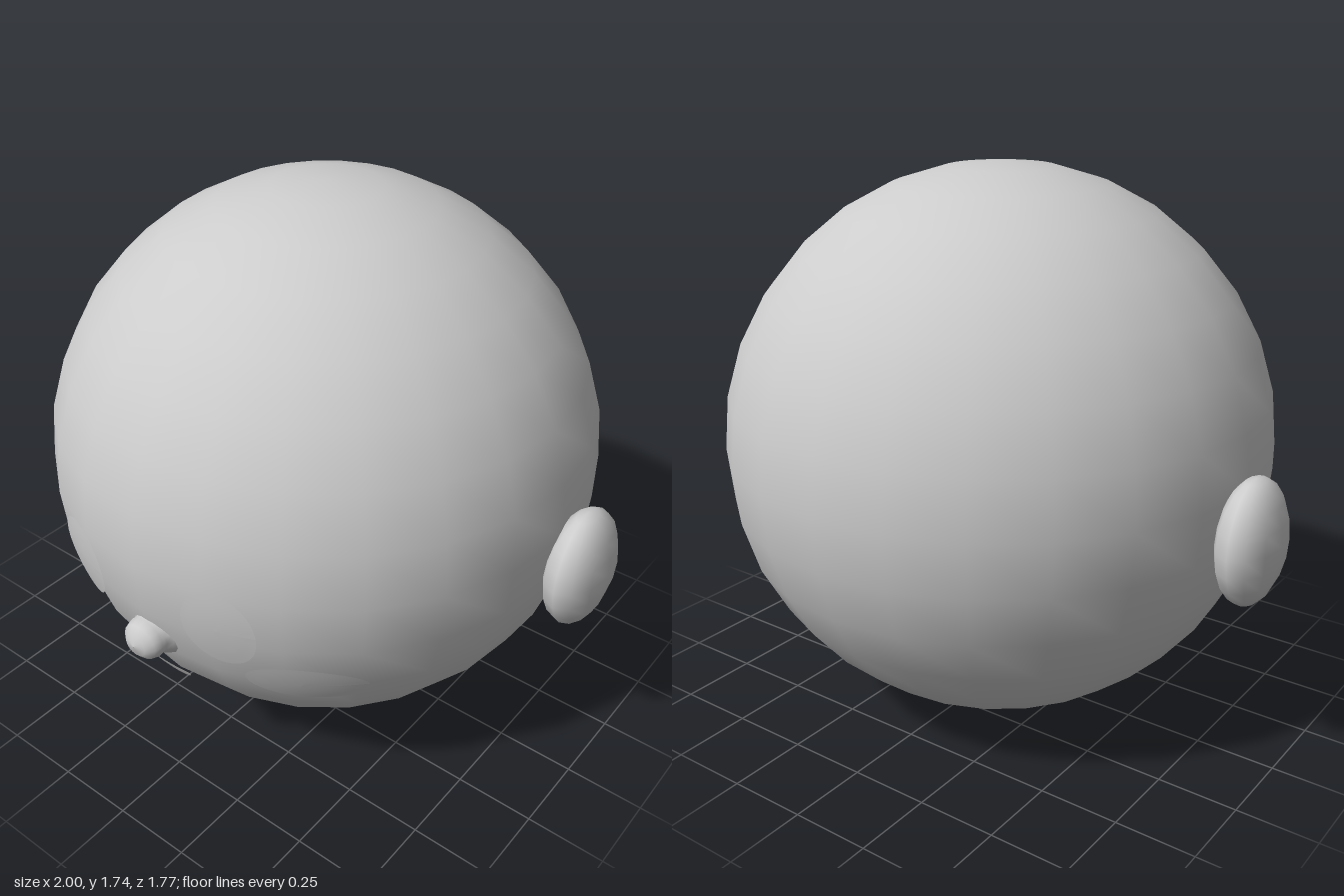
import * as THREE from 'three';

const R = 0.869, CY = 0.873, CZ = -0.015;

export function createModel() {
  const model = new THREE.Group();
  const clay = new THREE.MeshStandardMaterial({ color: 0xcccccc });
  clay.name = 'pale grey';

  const add = (name, geometry, parent = model) => {
    const mesh = new THREE.Mesh(geometry, clay);
    mesh.name = name;
    parent.add(mesh);
    return mesh;
  };

  // Thin face detail: a disc (or part of one) wrapped onto the head
  const patch = (name, x, y, rx, ry, lift, start = 0, sweep = Math.PI * 2) => {
    const g = new THREE.RingGeometry(0.001, 1, 32, 5, start, sweep);
    const p = g.attributes.position;
    for (let i = 0; i < p.count; i++) {
      const px = x + p.getX(i) * rx, py = y + p.getY(i) * ry;
      const r = R + lift;
      p.setXYZ(i, px, py, CZ + Math.sqrt(r * r - px * px - (py - CY) ** 2));
    }
    g.computeVertexNormals();
    return add(name, g);
  };

  // Head
  add('head', new THREE.SphereGeometry(R, 24, 16)).position.set(0, CY, CZ);

  // Nose: a small ball on a flared base
  const profile = [[0.1, -0.04], [0.08, -0.005], [0.068, 0.012], [0.07, 0.03],
    [0.062, 0.055], [0.038, 0.074], [0.001, 0.082]].map(([r, h]) => new THREE.Vector2(r, h));
  const nose = add('nose', new THREE.LatheGeometry(profile, 16).rotateX(Math.PI / 2));
  nose.scale.y = 0.92;
  nose.position.set(0, 0.6, 0.803);

  // Mouth
  patch('mouth', 0, 0.455, 0.09, 0.055, 0.014, Math.PI, Math.PI);

  for (const s of [1, -1]) {
    const side = s > 0 ? 'left' : 'right';

    // Ear: a flattened ball
    const ear = add(side + 'Ear', new THREE.SphereGeometry(1, 12, 10));
    ear.scale.set(0.09, 0.192, 0.163);
    ear.position.set(s * 0.91, 0.753, -0.067);

    // Eye with two highlights, and the cheek
    patch(side + 'Eye', s * 0.265, 0.755, 0.107, 0.137, 0.006);
    patch(side + 'EyeLargeHighlight', s * 0.245, 0.792, 0.034, 0.034, 0.008);
    patch(side + 'EyeSmallHighlight', s * 0.298, 0.69, 0.013, 0.014, 0.008);
    patch(side + 'Cheek', s * 0.448, 0.55, 0.147, 0.083, 0.005);
  }
  return model;
}
